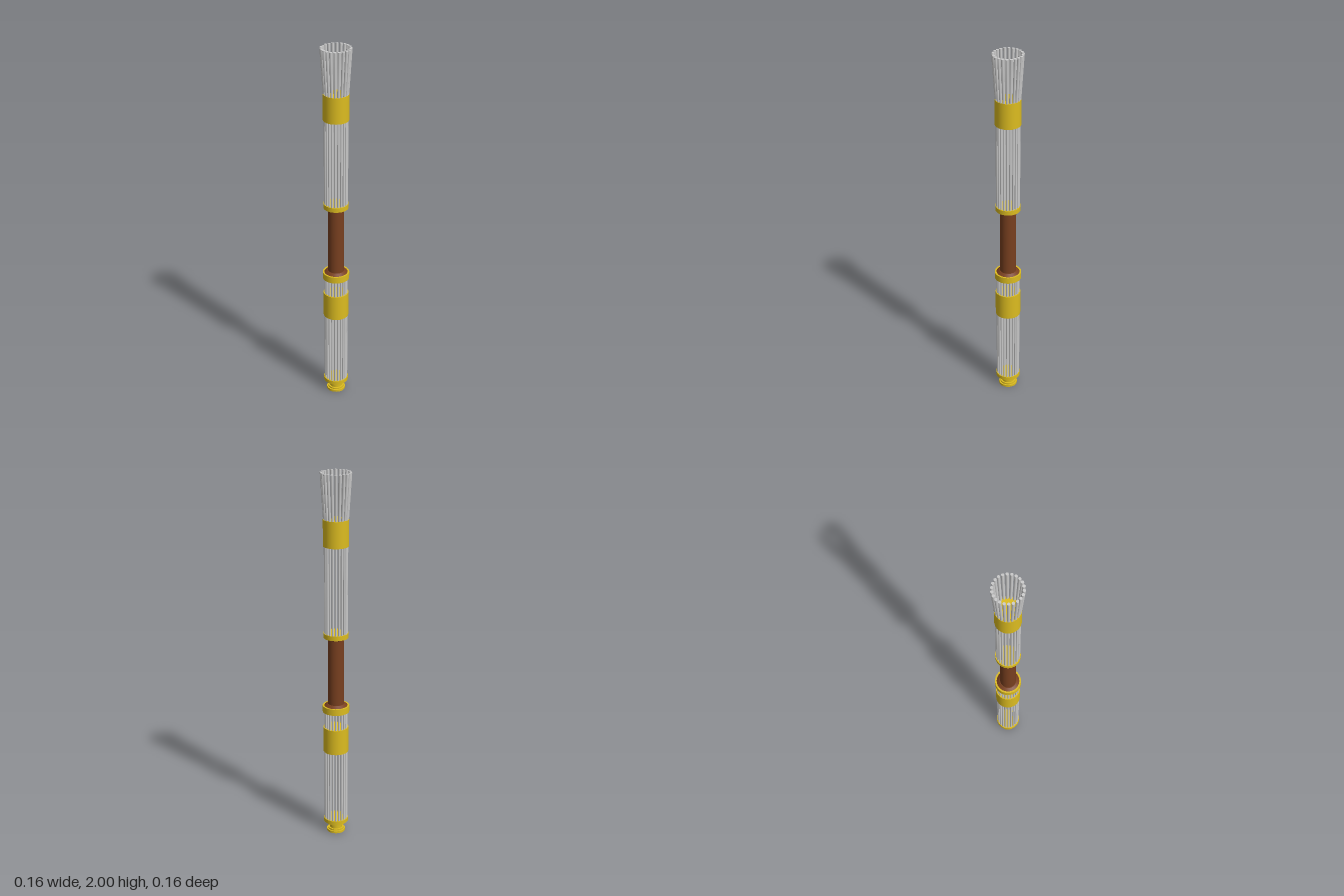
import * as THREE from 'three';

const gold = new THREE.MeshStandardMaterial({ color: 0xdcbc20 });
const brown = new THREE.MeshStandardMaterial({ color: 0x783f1f });
const grey = new THREE.MeshStandardMaterial({ color: 0xcccccc });

const ROD_COUNT = 22;
const ROD_CIRCLE = 0.057;

// Upright round section between two heights
function disc(name, material, y0, y1, rBottom, rTop = rBottom) {
  const geometry = new THREE.CylinderGeometry(rTop, rBottom, y1 - y0, 40);
  const mesh = new THREE.Mesh(geometry, material);
  mesh.position.y = (y0 + y1) / 2;
  mesh.name = name;
  return mesh;
}

// Ring of slim rods running from circle c0 at y0 to circle c1 at y1
function rodRing(name, y0, y1, c0, c1, r0, r1) {
  const ring = new THREE.Group();
  ring.name = name;
  const geometry = new THREE.CylinderGeometry(r1, r0, Math.hypot(y1 - y0, c1 - c0), 10);
  geometry.rotateX(Math.atan2(c1 - c0, y1 - y0));
  geometry.translate(0, (y0 + y1) / 2, (c0 + c1) / 2);
  for (let i = 0; i < ROD_COUNT; i++) {
    const rod = new THREE.Mesh(geometry, grey);
    rod.name = 'rod';
    rod.rotation.y = Math.PI + (i / ROD_COUNT) * Math.PI * 2;
    ring.add(rod);
  }
  return ring;
}

export function createModel() {
  const model = new THREE.Group();
  model.name = 'rodBundleStaff';

  // Foot and lower end cap
  model.add(
    disc('foot', gold, 0, 0.012, 0.05),
    disc('footStep', gold, 0.012, 0.02, 0.042),
    disc('footNeck', gold, 0.02, 0.055, 0.033),
    disc('endCapStep', gold, 0.05, 0.06, 0.055),
    disc('endCap', gold, 0.06, 0.08, 0.066),
  );

  // Lower rods with their binding band and collar
  model.add(
    rodRing('lowerRods', 0.078, 0.715, ROD_CIRCLE, ROD_CIRCLE, 0.006, 0.006),
    disc('lowerBand', gold, 0.48, 0.62, 0.067),
    disc('lowerCollar', gold, 0.71, 0.745, 0.071),
  );

  // Handle with flared ends
  model.add(
    disc('handleLowerFlare', brown, 0.744, 0.756, 0.063, 0.046),
    disc('handle', brown, 0.75, 1.125, 0.043),
    disc('handleUpperFlare', brown, 1.12, 1.13, 0.046, 0.06),
  );

  // Upper rods, collar, band and flared crown
  model.add(
    disc('upperCollar', gold, 1.128, 1.153, 0.066),
    rodRing('upperRods', 1.15, 1.63, ROD_CIRCLE, ROD_CIRCLE, 0.006, 0.006),
    disc('upperBand', gold, 1.62, 1.76, 0.067),
    rodRing('flaredRods', 1.75, 1.9995, 0.059, 0.0742, 0.007, 0.0078),
  );

  return model;
}
